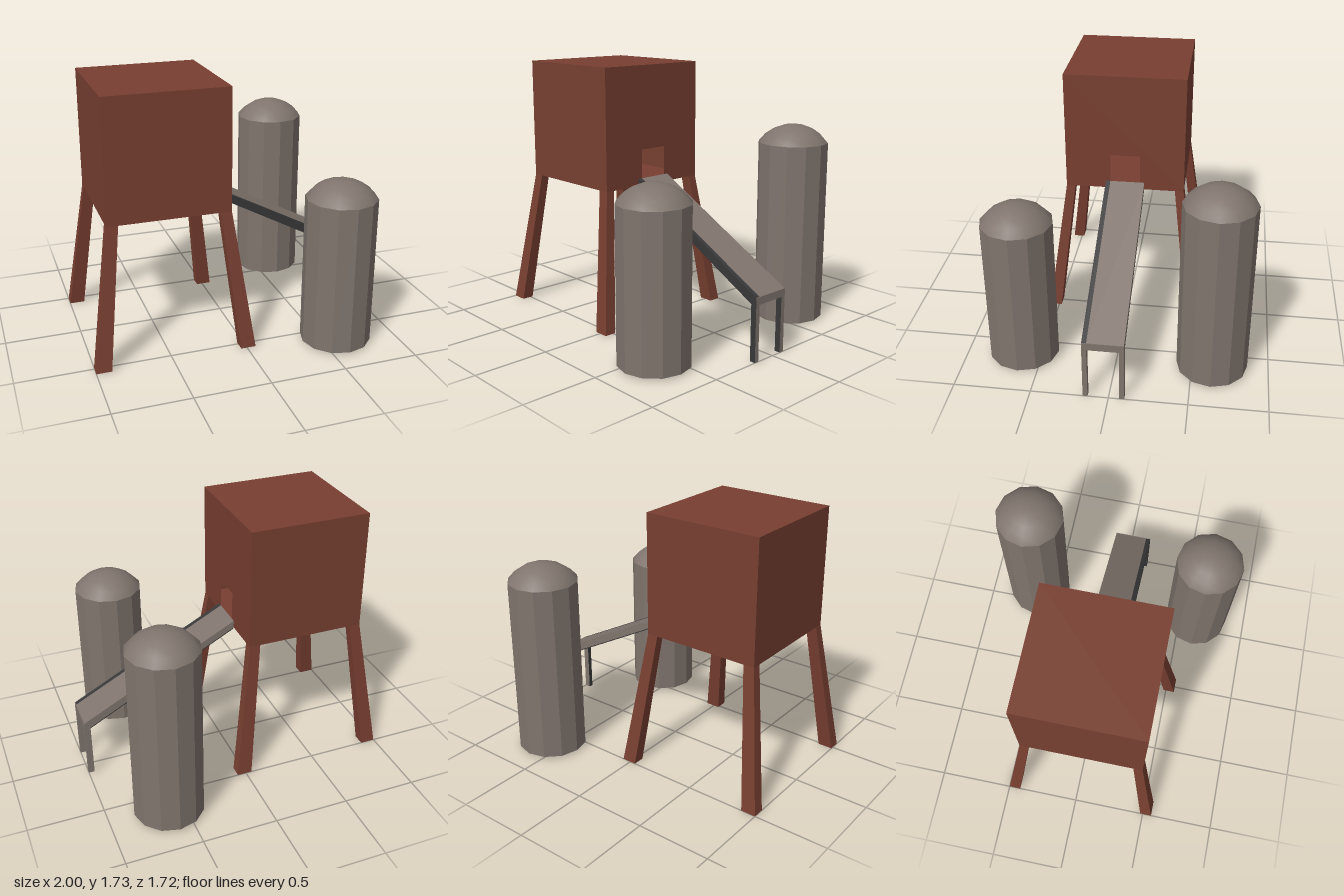
import * as THREE from 'three';

export function createModel() {
  const model = new THREE.Group();
  const paint = (name, color) => {
    const m = new THREE.MeshStandardMaterial({ color, flatShading: true, side: THREE.DoubleSide });
    m.name = name;
    return m;
  };
  const rust = paint('rustBrown', 0x783f31);
  const grey = paint('warmGrey', 0x80756e);
  const dark = paint('darkGrey', 0x383838);
  const smoothGrey = grey.clone();
  smoothGrey.flatShading = false;

  const add = (name, geometry, material, x = 0, y = 0, z = 0) => {
    const mesh = new THREE.Mesh(geometry, material);
    mesh.name = name;
    mesh.position.set(x, y, z);
    model.add(mesh);
    return mesh;
  };

  // Hollow cabin, with its +x wall replaced by one that has a doorway
  const X0 = -0.87, X1 = -0.065, Y0 = 0.925, Y1 = 1.73, Z0 = -0.37, Z1 = 0.435;
  const cabin = new THREE.BoxGeometry(X1 - X0, Y1 - Y0, Z1 - Z0);
  cabin.groups = cabin.groups.filter((g) => g.materialIndex !== 0);
  add('cabin', cabin, Array(6).fill(rust), (X0 + X1) / 2, (Y0 + Y1) / 2, (Z0 + Z1) / 2);

  const rect = (Kind, a, b, c, d) =>
    new Kind([[a, b], [c, b], [c, d], [a, d]].map((p) => new THREE.Vector2(...p)));
  const wall = rect(THREE.Shape, -Z1, Y0, -Z0, Y1);
  wall.holes.push(rect(THREE.Path, -0.13, 0.94, 0.07, 1.17));
  add('doorWall', new THREE.ShapeGeometry(wall), rust, X1).rotation.y = Math.PI / 2;

  // Splayed cabin legs: boxes whose top and bottom corners are moved
  for (const right of [false, true]) {
    for (const front of [false, true]) {
      const leg = new THREE.BoxGeometry(1, 1, 1);
      const p = leg.attributes.position;
      for (let i = 0; i < p.count; i++) {
        const top = p.getY(i) > 0;
        const outX = (p.getX(i) > 0) === right;
        const outZ = (p.getZ(i) > 0) === front;
        const x = right ? (top ? X1 : 0.06) : (top ? X0 : -1);
        const z = front ? (top ? Z1 : 0.563) : (top ? Z0 : -0.5);
        const inX = outX ? 0 : (top ? 0.075 : 0.1);
        const inZ = outZ ? 0 : (top ? 0.06 : 0.08);
        p.setXYZ(i, x + (right ? -inX : inX), top ? Y0 : 0, z + (front ? -inZ : inZ));
      }
      leg.computeVertexNormals();
      add('cabinLeg', leg, rust);
    }
  }

  // Twelve-sided silos with shallow domed caps
  const R = 0.232, rise = 0.12;
  const capR = (R * R + rise * rise) / (2 * rise);
  for (const [z, top] of [[0.625, 1.01], [-0.63, 1.22]]) {
    const height = top - 0.015;
    add('siloBody', new THREE.CylinderGeometry(R, R, height, 12), grey, 0.602, 0.015 + height / 2, z);
    const dome = new THREE.SphereGeometry(capR, 12, 4, 0, Math.PI * 2, 0, Math.asin(R / capR));
    add('siloDome', dome, smoothGrey, 0.602, top + rise - capR, z);
  }

  // Sloping chute: side profiles extruded across z
  const prism = (name, points, z0, z1, material) => {
    const shape = new THREE.Shape(points.map((p) => new THREE.Vector2(...p)));
    add(name, new THREE.ExtrudeGeometry(shape, { depth: z1 - z0, bevelEnabled: false }), material, 0, 0, z0);
  };
  const profile = [[X1, 0.925], [0.96, 0.375], [1, 0.375], [1, 0.415], [X1, 0.975]];
  prism('chuteBed', profile, -0.1, 0.132, grey);
  prism('chuteRail', profile, 0.132, 0.163, dark);
  prism('chuteUnderside', [[X1, 0.918], [0.96, 0.368], [0.96, 0.375], [X1, 0.925]], -0.1, 0.163, dark);

  // Trestle at the chute's low end, grey on its end and back faces
  const sides = [grey, dark, dark, dark, dark, grey];
  for (const z of [-0.085, 0.148]) {
    add('trestleLeg', new THREE.BoxGeometry(0.04, 0.375, 0.031), sides, 0.98, 0.1875, z);
  }
  add('trestleEnd', new THREE.BoxGeometry(0.006, 0.05, 0.263), grey, 0.998, 0.392, 0.0315);

  return model;
}
